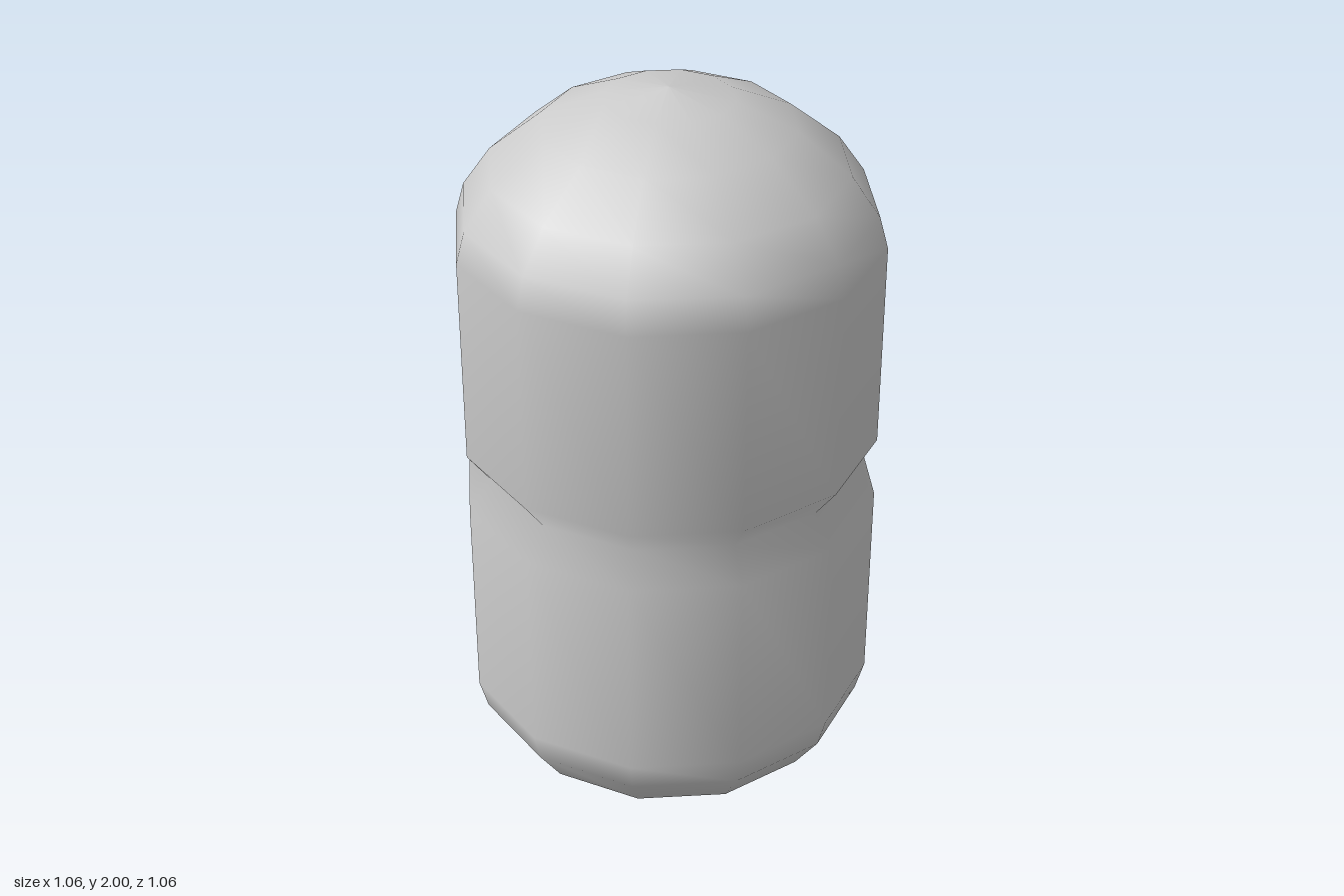
import * as THREE from 'three';

export function createModel() {
  const group = new THREE.Group();
  group.name = 'pinchedCapsule';
  const material = new THREE.MeshStandardMaterial({ color: 0xcccccc });

  // Domed end: radius and distance from the tip
  const dome = [[0, 0], [0.16, 0.025], [0.31, 0.09], [0.44, 0.195], [0.51, 0.295], [0.532, 0.375]];

  // Profile from bottom to top, with a V-shaped groove round the waist
  const profile = [
    ...dome,
    [0.532, 0.925], [0.473, 1.005], [0.532, 1.085],
    ...dome.map(([r, y]) => [r, 2 - y]).reverse(),
  ].map(([r, y]) => new THREE.Vector2(r, y));

  // Twelve-sided, smooth-shaded body
  const body = new THREE.Mesh(new THREE.LatheGeometry(profile, 12), material);
  body.name = 'body';
  group.add(body);
  return group;
}
